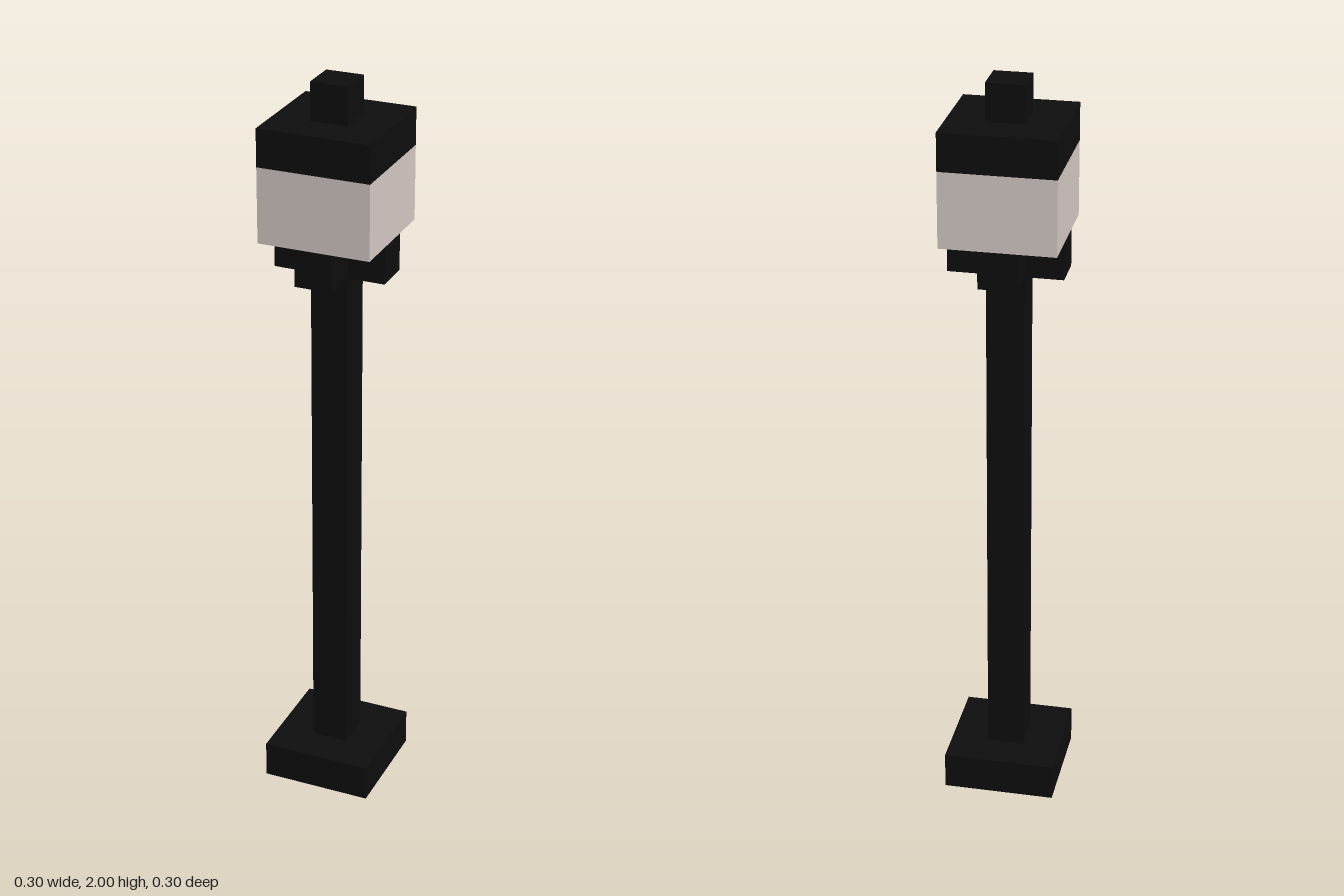
import * as THREE from 'three';

export function createModel() {
  const group = new THREE.Group();
  const blackIron = new THREE.MeshStandardMaterial({ color: 0x0e0e0e });
  blackIron.name = 'black iron';
  const paleGlass = new THREE.MeshStandardMaterial({ color: 0xd5cac5 });
  paleGlass.name = 'pale glass';

  // Square block of the given width, standing between two heights
  function block(name, material, width, bottom, top) {
    const mesh = new THREE.Mesh(new THREE.BoxGeometry(width, top - bottom, width), material);
    mesh.name = name;
    mesh.position.y = (bottom + top) / 2;
    group.add(mesh);
    return mesh;
  }

  block('base', blackIron, 0.3, 0, 0.1);
  block('post', blackIron, 0.1, 0.1, 1.6);

  // Cross-shaped bracket: four arms around the top of the post
  for (const [x, z] of [[1, 0], [-1, 0], [0, 1], [0, -1]]) {
    const arm = block('bracketArm', blackIron, 0.1, 1.5, 1.6);
    arm.position.x = x * 0.1;
    arm.position.z = z * 0.1;
  }

  block('lantern', paleGlass, 0.3, 1.6, 1.8);
  block('lanternCap', blackIron, 0.3, 1.8, 1.9);
  block('finial', blackIron, 0.1, 1.9, 2);

  return group;
}
